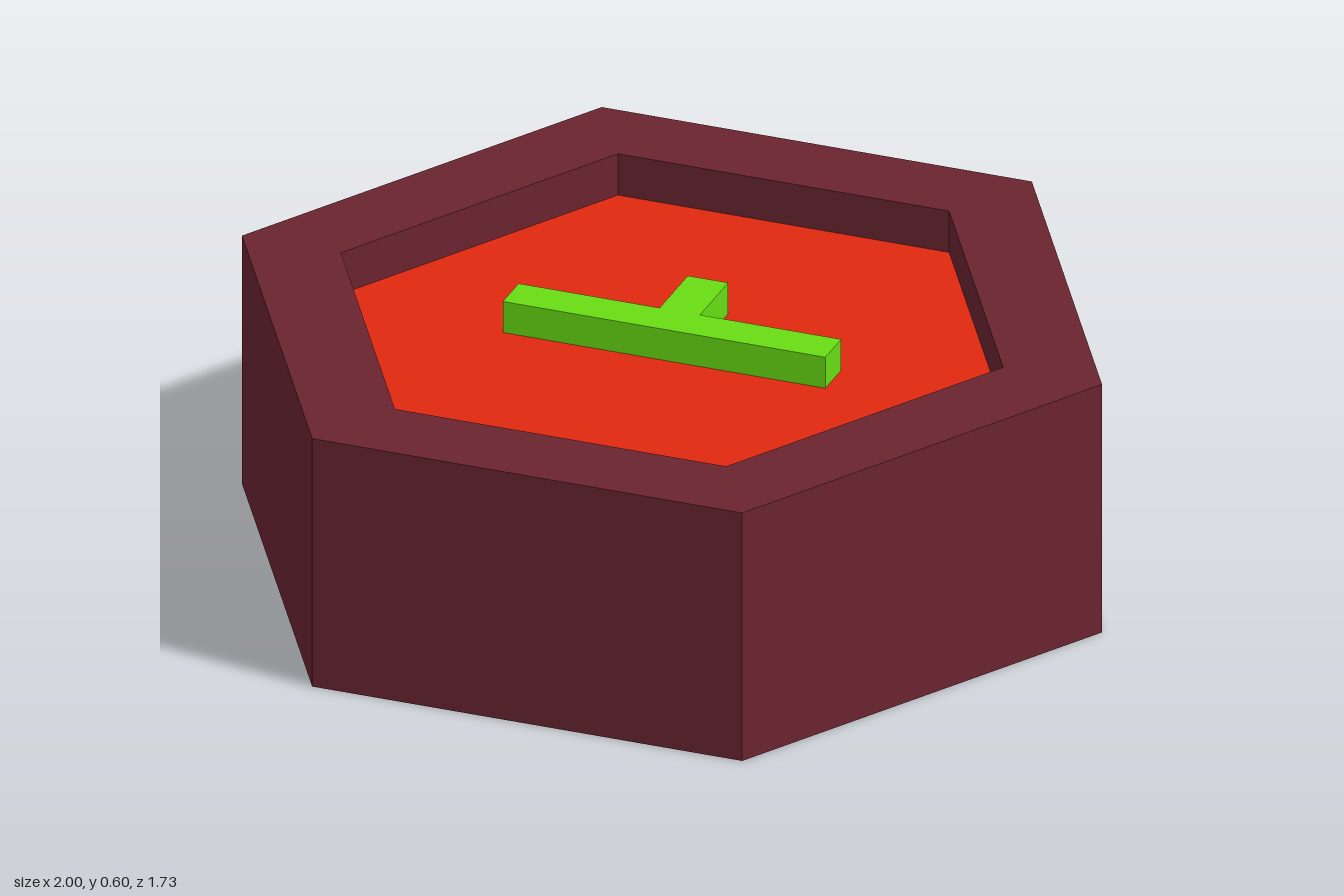
import * as THREE from 'three';

const HEIGHT = 0.6, RECESS = 0.1;

// Hexagon with corners on the x axis
function hexPoints(radius) {
  return Array.from({ length: 6 }, (_, i) => {
    const a = (i * Math.PI) / 3;
    return new THREE.Vector2(radius * Math.cos(a), radius * Math.sin(a));
  });
}

// Shape drawn in x / -z, extruded upwards from y = 0
function extrudeUp(shape, height) {
  return new THREE.ExtrudeGeometry(shape, { depth: height, bevelEnabled: false }).rotateX(-Math.PI / 2);
}

function createModel() {
  const group = new THREE.Group();
  const material = (name, color) => new THREE.MeshStandardMaterial({ name, color });
  const maroon = material('maroon', 0x6a2430);
  const red = material('red', 0xe02810);
  const green = material('green', 0x68dc14);

  const add = (name, geometry, mat) => {
    const mesh = new THREE.Mesh(geometry, mat);
    mesh.name = name;
    group.add(mesh);
    return mesh;
  };

  // Hexagonal ring
  const ring = new THREE.Shape(hexPoints(1));
  ring.holes.push(new THREE.Path(hexPoints(0.77).reverse()));
  add('frame', extrudeUp(ring, HEIGHT), maroon);

  // Core panel, recessed on both faces
  const panel = add('panel', extrudeUp(new THREE.Shape(hexPoints(0.77)), HEIGHT - 2 * RECESS), red);
  panel.position.y = RECESS;

  // Raised T-shaped bar on the upper face and, turned over, on the lower face
  const L = 0.375, w = 0.047, stem = 0.215;
  const tee = new THREE.Shape([
    [-L, -w], [L, -w], [L, w], [w, w], [w, stem], [-w, stem], [-w, w], [-L, w],
  ].map(([x, y]) => new THREE.Vector2(x, y)));
  const teeGeometry = extrudeUp(tee, 0.075);
  add('topEmblem', teeGeometry, green).position.y = HEIGHT - RECESS;
  const under = add('bottomEmblem', teeGeometry, green);
  under.rotation.x = Math.PI;
  under.position.y = RECESS;

  return group;
}

export { createModel };
